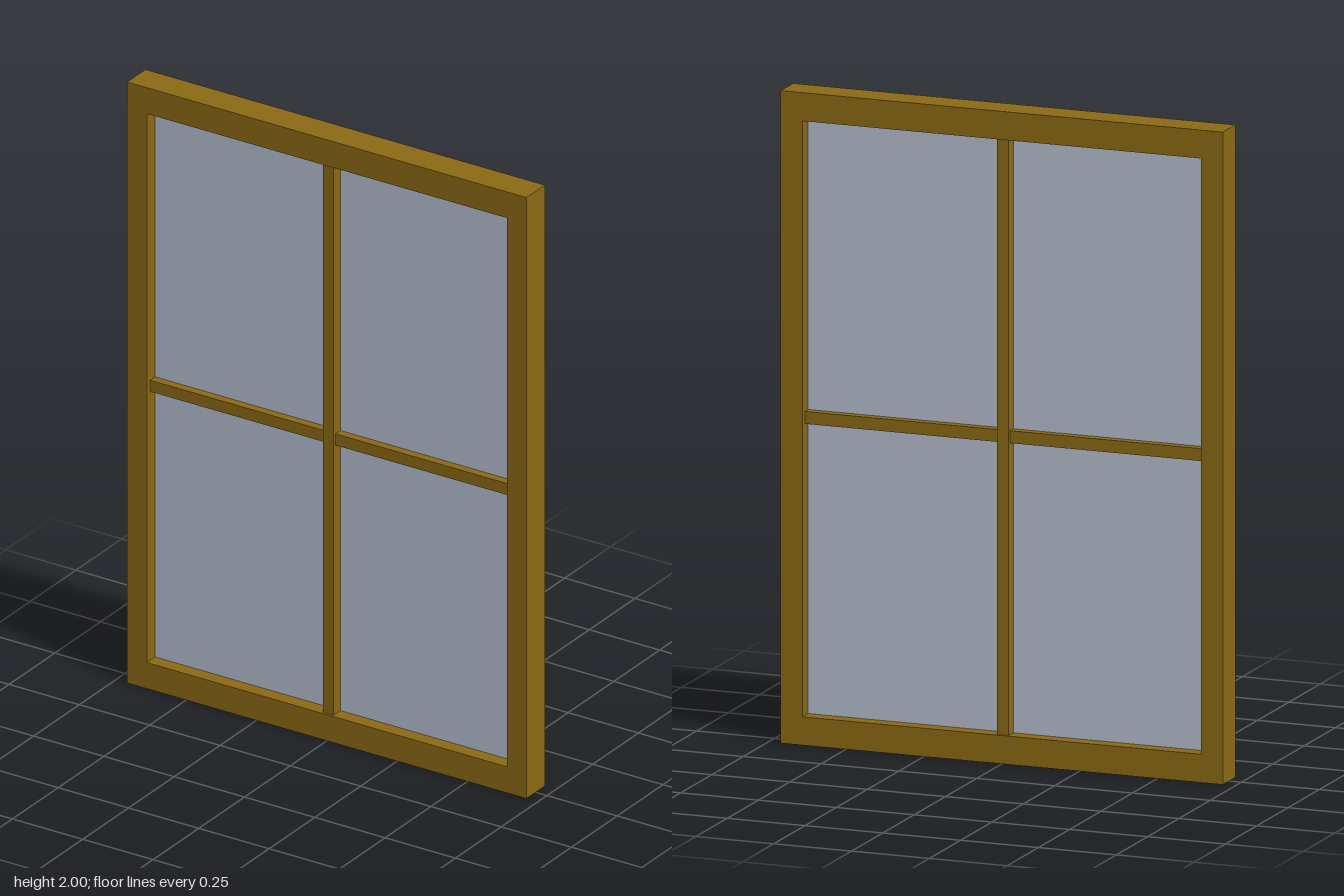
import * as THREE from 'three';

const WIDTH = 1.42, HEIGHT = 2, DEPTH = 0.1;
const STILE = 0.07, RAIL = 0.087;   // side and top/bottom member widths
const BAR = 0.038;                  // glazing bar width

export function createModel() {
  const model = new THREE.Group();
  model.name = 'window';
  const wood = new THREE.MeshStandardMaterial({ color: 0x8b6914 });
  const glass = new THREE.MeshStandardMaterial({ color: 0xb6bfd0 });

  const add = (name, geometry, material, x = 0, y = 0, z = 0) => {
    const mesh = new THREE.Mesh(geometry, material);
    mesh.name = name;
    mesh.position.set(x, y, z);
    model.add(mesh);
  };

  const openW = WIDTH - 2 * STILE, openH = HEIGHT - 2 * RAIL;
  const midY = HEIGHT / 2;

  // Outer frame: one rectangle with a rectangular opening
  const rect = (Type, w, h) => new Type([
    new THREE.Vector2(-w / 2, -h / 2), new THREE.Vector2(w / 2, -h / 2),
    new THREE.Vector2(w / 2, h / 2), new THREE.Vector2(-w / 2, h / 2),
  ]);
  const outline = rect(THREE.Shape, WIDTH, HEIGHT);
  outline.holes.push(rect(THREE.Path, openW, openH));
  const frame = new THREE.ExtrudeGeometry(outline, { depth: DEPTH, bevelEnabled: false });
  add('frame', frame, wood, 0, midY, -DEPTH / 2);

  // Glazing bars: the upright stands prouder than the crossbar
  add('verticalBar', new THREE.BoxGeometry(BAR, openH, 0.084), wood, 0, midY);
  add('horizontalBar', new THREE.BoxGeometry(openW, BAR, 0.064), wood, 0, midY);

  // Four thin panes between the bars
  const paneW = (openW - BAR) / 2, paneH = (openH - BAR) / 2;
  const pane = new THREE.BoxGeometry(paneW, paneH, 0.01);
  for (const [row, sy] of [['lower', -1], ['upper', 1]]) {
    for (const [side, sx] of [['Right', -1], ['Left', 1]]) {
      add(`${row}${side}Pane`, pane, glass,
        sx * (BAR + paneW) / 2, midY + sy * (BAR + paneH) / 2);
    }
  }
  return model;
}
